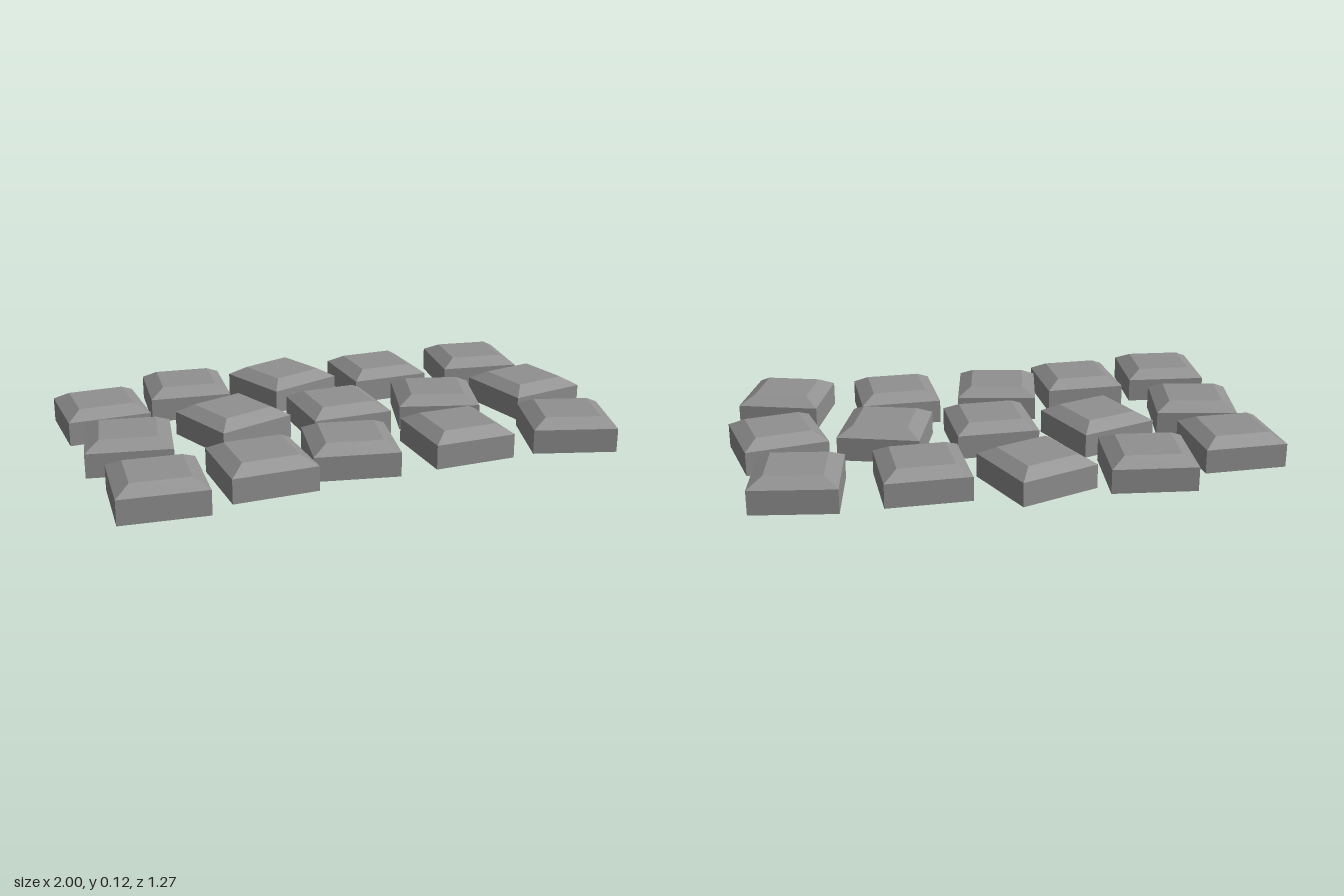
import * as THREE from 'three';

// Each stone: [x, z, turn about y in radians]
const ROWS = {
  back: [[-0.833, -0.335, 0], [-0.465, -0.456, -0.13], [-0.06, -0.435, 0.34], [0.344, -0.39, 0], [0.778, -0.375, -0.17]],
  middle: [[-0.815, 0.035, -0.21], [-0.392, -0.058, 0.32], [0.018, -0.012, 0], [0.418, 0.015, -0.32], [0.822, 0.015, 0.17]],
  front: [[-0.817, 0.448, -0.11], [-0.438, 0.406, 0], [-0.09, 0.366, -0.22], [0.326, 0.386, 0], [0.761, 0.438, -0.32]],
};

const SIZE = 0.31, WALL = 0.09, HEIGHT = 0.122, BEVEL = 0.052;

// Square slab with a bevelled top: a four-sided lathe with flat faces
function stoneGeometry() {
  const outer = SIZE / Math.SQRT2;
  const inner = (SIZE - 2 * BEVEL) / Math.SQRT2;
  const profile = [[0, 0], [outer, 0], [outer, WALL], [inner, HEIGHT], [0, HEIGHT]]
    .map(([r, y]) => new THREE.Vector2(r, y));
  const geometry = new THREE.LatheGeometry(profile, 4, Math.PI / 4).toNonIndexed();
  geometry.computeVertexNormals();
  return geometry;
}

export function createModel() {
  const model = new THREE.Group();
  model.name = 'pavingStones';
  const geometry = stoneGeometry();
  const material = new THREE.MeshStandardMaterial({ color: 0x909090, flatShading: true });

  for (const [rowName, stones] of Object.entries(ROWS)) {
    const row = new THREE.Group();
    row.name = `${rowName}Row`;
    stones.forEach(([x, z, turn], i) => {
      const stone = new THREE.Mesh(geometry, material);
      stone.name = `${rowName}Stone${i + 1}`;
      stone.position.set(x, 0, z);
      stone.rotation.y = turn;
      row.add(stone);
    });
    model.add(row);
  }
  return model;
}
